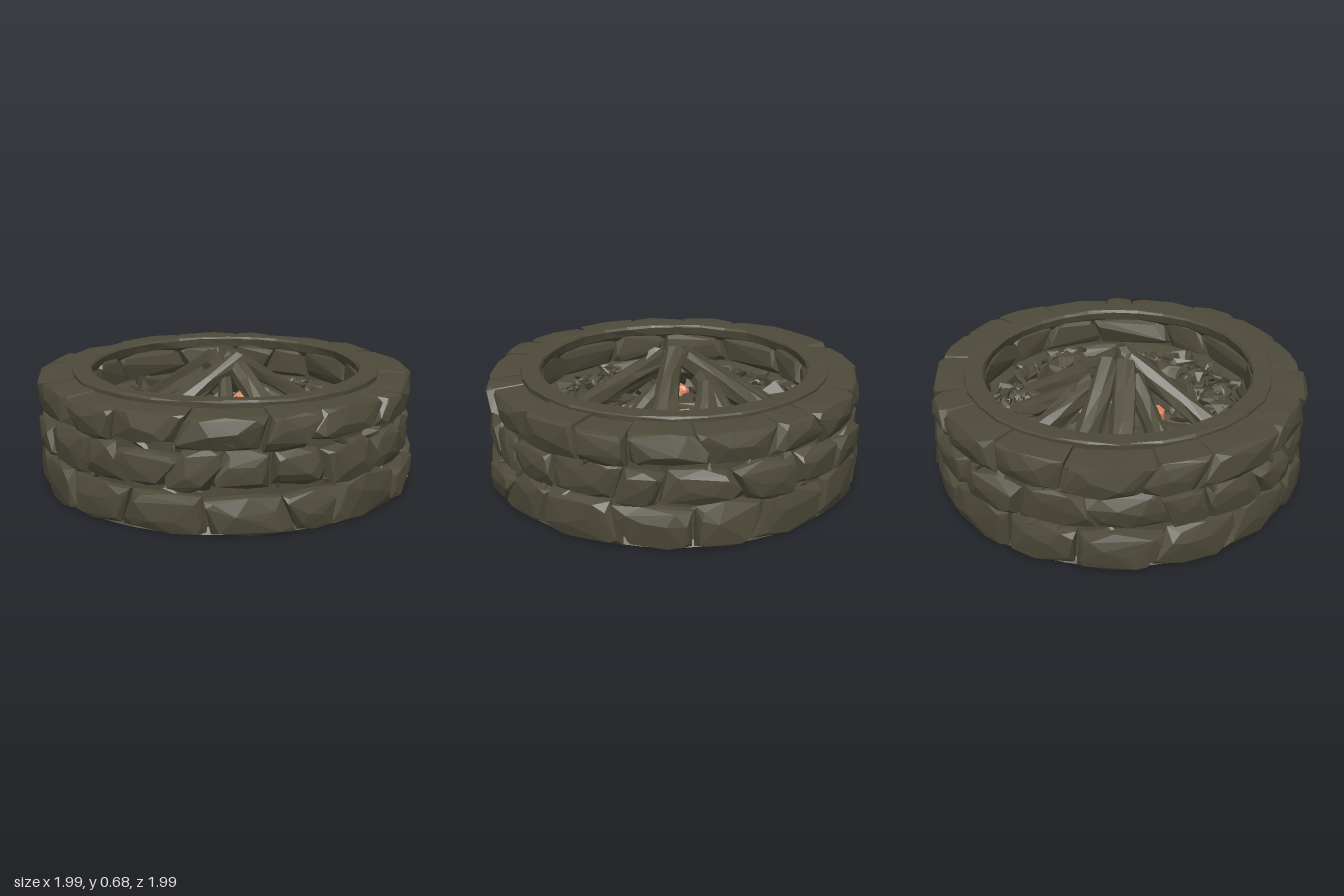
import * as THREE from 'three';
import { mergeGeometries } from 'three/addons/utils/BufferGeometryUtils.js';
import { ConvexGeometry } from 'three/addons/geometries/ConvexGeometry.js';

const TAU = Math.PI * 2;

// seeded random numbers
let seed = 7;
const rnd = (a = 0, b = 1) => {
  seed = (seed * 16807) % 2147483647;
  return a + (b - a) * (seed / 2147483647);
};
const polar = (r, a, y) => new THREE.Vector3(Math.sin(a) * r, y, Math.cos(a) * r);

// makes flat facets, moving equal points equally
function roughen(geometry, amount) {
  const g = geometry.toNonIndexed(), p = g.attributes.position;
  const n = (x, y, z, k) => {
    const s = Math.sin(Math.round(x * 1e4) * 0.0127 + Math.round(y * 1e4) * 0.0311 + Math.round(z * 1e4) * 0.0743 + k) * 4375.5;
    return (s - Math.floor(s) - 0.5) * 2 * amount;
  };
  for (let i = 0; i < p.count; i++) {
    const x = p.getX(i), y = p.getY(i), z = p.getZ(i);
    p.setXYZ(i, x + n(x, y, z, 1), y + n(x, y, z, 2), z + n(x, y, z, 3));
  }
  g.computeVertexNormals();
  return g;
}

// chipped stone between two slanted joints, each joint given as [angle, slant]
function stone(j0, j1, y0, y1, back, mid, face, topInset, baseInset) {
  const pts = [], dy = y1 - y0;
  const at = (u, v) => (j0[0] + (v - 0.5) * j0[1]) * (1 - u) + (j1[0] + (v - 0.5) * j1[1]) * u;
  for (const u of [0, 1]) for (const v of [0, 1]) {
    const corner = v ? 1 - rnd(0, topInset * 0.8) : rnd(0, baseInset * 0.5);
    pts.push(polar(back, at(u ? 0.985 : 0.015, v), y0 + dy * v));
    pts.push(polar(mid + rnd(-0.02, 0.015), at(u ? 0.98 : 0.02, v), y0 + dy * corner));
    const inset = v ? topInset : baseInset;
    for (const k of [0.7, 1.5]) {
      const cut = rnd(0.06, 0.15) * k, rise = inset * rnd(0.6, 1.4) / k;
      pts.push(polar(face + rnd(-0.02, 0.006), at(u ? 1 - cut : cut, v), y0 + dy * (v ? 1 - rise : rise)));
    }
  }
  // fuller middle along the long edges and on the face
  for (const v of [0.01, 0.99]) pts.push(polar(mid + (face - mid) * rnd(0.2, 0.6), at(rnd(0.35, 0.65), v), y0 + dy * v));
  for (const u of [0.35, 0.65]) pts.push(polar(face + rnd(0, 0.01), at(u, 0.5), y0 + dy * rnd(0.3, 0.7)));
  return new ConvexGeometry(pts);
}

// one ring of stones with uneven widths, heights and joints
function course(count, start, y0, y1, back, mid, face, wobble, topInset, baseInset) {
  const widths = Array.from({ length: count }, () => rnd(0.68, 1.32));
  const total = widths.reduce((s, w) => s + w, 0);
  let a = start;
  const joints = widths.map((w) => {
    const joint = [a, rnd(-0.09, 0.09)];
    a += (w / total) * TAU;
    return joint;
  });
  joints.push([joints[0][0] + TAU, joints[0][1]]);
  return mergeGeometries(widths.map((w, i) => stone(joints[i], joints[i + 1],
    y0 > 0.01 ? y0 + rnd(-wobble, wobble) : y0,
    y1 + (topInset > 0.15 ? rnd(-wobble, wobble) : rnd(-0.012, 0.003)),
    back, mid, face + rnd(-0.02, 0.008), topInset, baseInset)));
}

// small angular fragment
function shard(center, size) {
  const pts = [];
  for (let i = 0; i < 7; i++) {
    pts.push(new THREE.Vector3(rnd(-1, 1), rnd(-0.7, 0.8), rnd(-1, 1)).multiplyScalar(size).add(center));
  }
  return new ConvexGeometry(pts);
}

// rough tapered branch between two points
function log(foot, tip, radius) {
  const a = new THREE.Vector3(...foot), b = new THREE.Vector3(...tip);
  const dir = b.clone().sub(a), len = dir.length();
  const g = roughen(new THREE.CylinderGeometry(radius * 0.8, radius, len, 8, 3), radius * 0.15);
  g.applyQuaternion(new THREE.Quaternion().setFromUnitVectors(new THREE.Vector3(0, 1, 0), dir.normalize()));
  const mid = a.add(b).multiplyScalar(0.5);
  return g.translate(mid.x, mid.y, mid.z);
}

export function createModel() {
  seed = 7;
  const group = new THREE.Group();
  const stoneMat = new THREE.MeshStandardMaterial({ color: 0x4e4a3a });
  stoneMat.name = 'dark stone';
  const emberMat = new THREE.MeshStandardMaterial({ color: 0xdd8560 });
  emberMat.name = 'ember orange';
  const add = (name, geometry, material = stoneMat) => {
    const mesh = new THREE.Mesh(geometry, material);
    mesh.name = name;
    group.add(mesh);
  };
  const lathe = (profile, sides) => new THREE.LatheGeometry(profile.map(([x, y]) => new THREE.Vector2(x, y)), sides);

  // solid core behind the stones, with a closed base
  add('wallCore', roughen(lathe([[0, 0], [0.95, 0], [0.93, 0.03], [0.925, 0.52], [0.76, 0.545], [0.76, 0.2]], 48), 0));

  // three outer courses
  add('bottomCourse', course(17, 0.12, 0, 0.21, 0.8, 0.955, 0.995, 0.025, 0.22, 0.14));
  add('middleCourse', course(21, 0.3, 0.205, 0.4, 0.8, 0.935, 0.982, 0.025, 0.22, 0.22));
  add('topCourse', course(18, 0.0, 0.4, 0.567, 0.79, 0.945, 0.985, 0.022, 0.12, 0.22));

  // wedged chips in the joints
  const chips = [];
  for (let i = 0; i < 60; i++) {
    chips.push(shard(polar(0.93, (i / 60) * TAU + rnd(-0.05, 0.05), (i % 2 ? 0.205 : 0.4) + rnd(-0.03, 0.03)), rnd(0.035, 0.055)));
  }
  add('jointChips', mergeGeometries(chips));

  // inner lining
  add('lowerLining', course(13, 0.2, 0.2, 0.37, 0.79, 0.755, 0.715, 0.015, 0.2, 0.2));
  add('upperLining', course(14, 0.05, 0.37, 0.54, 0.79, 0.755, 0.72, 0.01, 0.2, 0.2));

  // cap ring
  add('capRing', roughen(lathe([[0.74, 0.5], [0.808, 0.53], [0.812, 0.582], [0.802, 0.59], [0.715, 0.587], [0.705, 0.575], [0.715, 0.53], [0.74, 0.5]], 30), 0.004));

  // ash bed rising a little to the middle
  add('ashBed', roughen(lathe([[0.77, 0.31], [0.66, 0.3], [0.54, 0.285], [0.42, 0.285], [0.3, 0.31], [0.15, 0.34], [0, 0.36]], 26), 0.018));

  // loose rubble, with larger chunks banked against the wall
  const rubble = [];
  for (let i = 0; i < 520; i++) {
    const large = i % 8 === 0;
    const r = i % 4 ? rnd(0.5, 0.7) : rnd(0.28, 0.66);
    rubble.push(shard(polar(r, rnd(0, TAU), 0.3 + Math.max(0, r - 0.55) * 0.35), large ? rnd(0.07, 0.1) : rnd(0.025, 0.05)));
  }
  add('rubble', mergeGeometries(rubble));

  // glowing patches between the logs: x, z, width, depth, turn
  const patches = [[0.15, -0.16, 0.075, 0.11, -0.7], [0.2, 0.1, 0.075, 0.11, 0.1], [-0.2, 0.08, 0.05, 0.05, 0], [0.09, 0.13, 0.05, 0.06, 0.3]];
  add('embers', mergeGeometries(patches.map(([x, z, w, d, turn]) => {
    const g = lathe([[1, 0.28], [0.9, 0.36], [0.5, 0.38], [0, 0.39]], 9);
    return roughen(g.scale(w, 1, d).rotateY(turn).translate(x, 0, z), 0.008);
  })), emberMat);

  // dark coals around the patches
  const coals = [[0.2, 0.07], [0.05, -0.03], [-0.08, 0.12], [-0.12, -0.08], [0.0, 0.2], [0.08, -0.27], [0.27, -0.08], [0.29, 0.16], [-0.02, -0.2], [0.14, 0.22], [-0.24, -0.02], [-0.2, 0.17]];
  add('coals', mergeGeometries(coals.map(([x, z]) => shard(new THREE.Vector3(x, 0.36, z), rnd(0.045, 0.065)))));

  // leaning logs: foot, tip, radius
  const logs = [
    [[0.21, 0.3, 0.48], [0.02, 0.625, 0.03], 0.064],
    [[-0.46, 0.3, 0.24], [0.06, 0.63, 0.07], 0.064],
    [[-0.43, 0.29, -0.1], [-0.1, 0.54, 0.01], 0.062],
    [[-0.37, 0.3, -0.35], [-0.06, 0.61, 0.0], 0.068],
    [[-0.22, 0.29, -0.49], [0.0, 0.62, -0.06], 0.07],
    [[0.14, 0.29, -0.49], [0.01, 0.54, -0.16], 0.062],
    [[0.35, 0.31, -0.37], [0.05, 0.5, -0.23], 0.064],
    [[0.47, 0.31, -0.2], [-0.01, 0.63, 0.01], 0.072],
    [[0.43, 0.29, 0.08], [0.1, 0.48, 0.02], 0.05],
    [[0.41, 0.29, 0.2], [0.12, 0.42, 0.08], 0.04],
    [[-0.07, 0.29, 0.44], [-0.02, 0.55, 0.08], 0.042],
  ];
  logs.forEach(([foot, tip, radius], i) => add('log' + (i + 1), log(foot, tip, radius)));

  return group;
}
